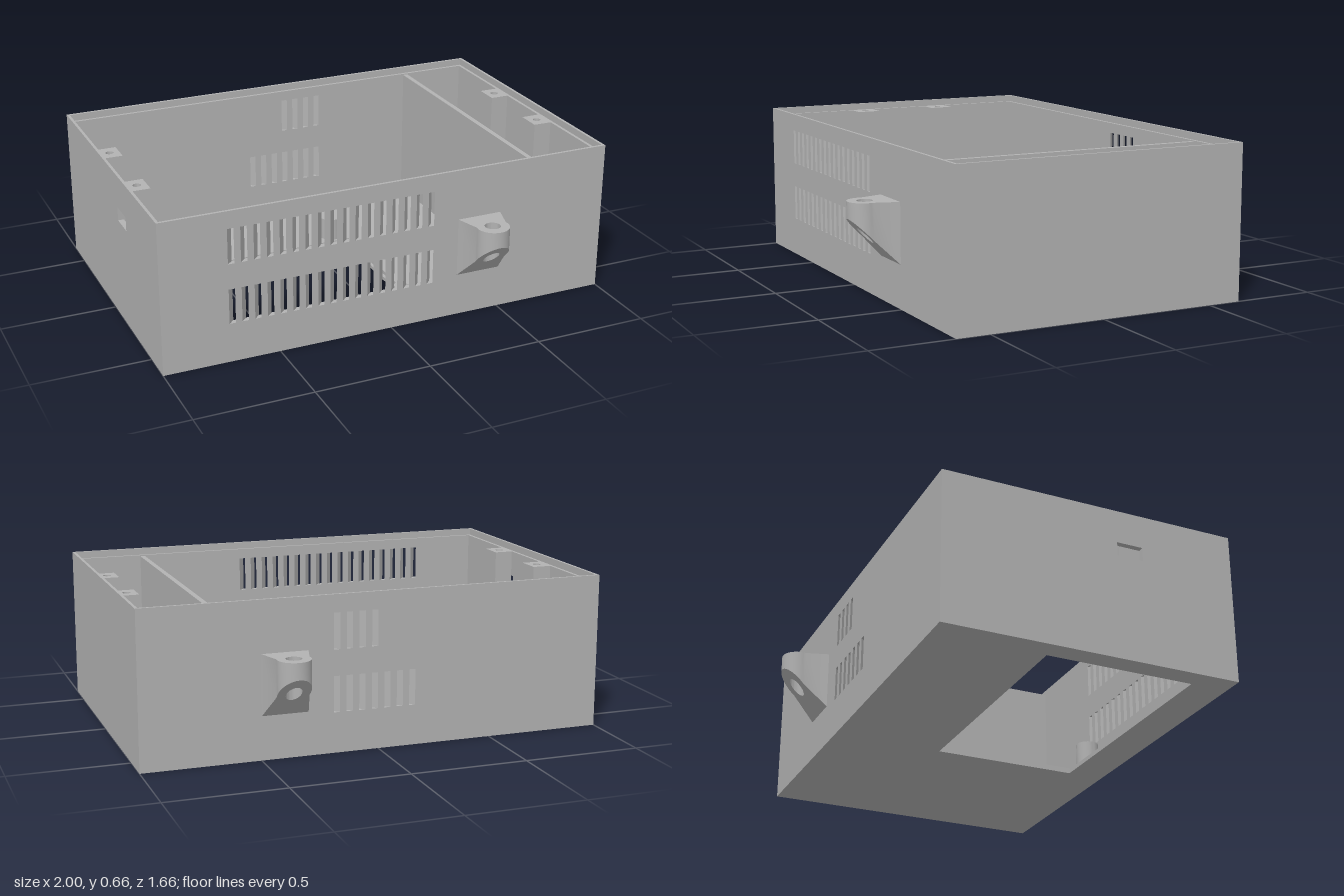
import * as THREE from 'three';
import { toCreasedNormals } from 'three/addons/utils/BufferGeometryUtils.js';

const W = 1, D = 0.645, H = 0.66, LEDGE = 0.63, T = 0.025, FLOOR = 0.03;

// Rectangle from corner to corner, as a shape or a hole
function rect(x0, y0, x1, y1, Type = THREE.Shape) {
  const p = new Type();
  p.moveTo(x0, y0).lineTo(x1, y0).lineTo(x1, y1).lineTo(x0, y1).closePath();
  return p;
}
function circle(x, y, r, Type = THREE.Path) {
  const p = new Type();
  p.absarc(x, y, r, 0, Math.PI * 2, false);
  return p;
}
function extrude(shape, depth) {
  return new THREE.ExtrudeGeometry(shape, { depth, bevelEnabled: false, curveSegments: 16 });
}
// Plan shape (x, -z) raised from y0 to y1; an optional rule reshapes the underside
function plan(shape, y0, y1, underside) {
  const g = extrude(shape, y1 - y0).rotateX(-Math.PI / 2).translate(0, y0, 0);
  if (underside) {
    const p = g.attributes.position;
    for (let i = 0; i < p.count; i++) {
      if (p.getY(i) < (y0 + y1) / 2) p.setY(i, underside(p.getX(i), p.getZ(i)));
    }
  }
  return toCreasedNormals(g, 0.5);
}

export function createModel() {
  const group = new THREE.Group();
  const grey = new THREE.MeshStandardMaterial({ color: 0xb2b2b2 });
  grey.name = 'grey plastic';
  const add = (name, geo) => {
    const m = new THREE.Mesh(geo, grey);
    m.name = name;
    group.add(m);
    return m;
  };
  const box = (name, x0, x1, y0, y1, z0, z1) => add(name,
    new THREE.BoxGeometry(x1 - x0, y1 - y0, z1 - z0)
      .translate((x0 + x1) / 2, (y0 + y1) / 2, (z0 + z1) / 2));

  // Floor in two layers, giving the window a stepped edge
  const floorLayer = (name, y0, y1, inset) => {
    const s = rect(-W + T, -D + T, W - T, D - T);
    s.holes.push(rect(-0.92 + inset, -0.495 + inset, 0.175 - inset, 0.175 - inset, THREE.Path));
    add(name, plan(s, y0, y1));
  };
  floorLayer('floorLower', 0, FLOOR / 2, 0.013);
  floorLayer('floorUpper', FLOOR / 2, FLOOR, 0);

  // Long walls with slanted vent slots; the wall is sheared so each slot runs at an angle
  const rows = [[0.433, 0.585], [0.171, 0.323]];
  const longWall = (name, side, counts, lastX) => {
    const s = rect(-W, 0, W - T, LEDGE);
    rows.forEach(([y0, y1], r) => {
      for (let i = 0; i < counts[r]; i++) {
        const x = lastX - i * 0.0548;
        s.holes.push(rect(x - 0.0135, y0, x + 0.0135, y1, THREE.Path));
      }
    });
    const g = extrude(s, T);
    const p = g.attributes.position;
    for (let i = 0; i < p.count; i++) {
      const inward = side > 0 ? T - p.getZ(i) : p.getZ(i);
      p.setX(i, p.getX(i) + inward);
    }
    g.translate(0, 0, side > 0 ? D - T : -D);
    g.computeVertexNormals();
    add(name, g);
  };
  longWall('frontWall', 1, [17, 17], 0.174);
  longWall('backWall', -1, [4, 7], 0.18);

  // Short walls; the right one has a small port opening
  box('leftWall', W - T, W, 0, LEDGE, -D, D);
  const side = rect(-D, 0, D, LEDGE);
  side.holes.push(rect(0.115, 0.455, 0.23, 0.515, THREE.Path));
  add('rightWall', extrude(side, T).rotateY(-Math.PI / 2).translate(-W + T, 0, 0));

  // Thin lip around the rim, leaving a ledge for a lid
  const lip = rect(-W, -D, W, D);
  lip.holes.push(rect(-W + 0.012, -D + 0.012, W - 0.012, D - 0.012, THREE.Path));
  add('rimLip', plan(lip, LEDGE, H));

  box('partition', 0.668, 0.69, FLOOR, 0.625, -D + T, D - T);

  // Mounting lugs with sloping undersides
  for (const s of [1, -1]) {
    const pts = [new THREE.Vector2(0.3, -s * (D - 0.005)), new THREE.Vector2(0.5, -s * (D - 0.005))];
    for (let i = 0; i <= 20; i++) {
      const a = THREE.MathUtils.degToRad(-12 + i * 10.2);
      pts.push(new THREE.Vector2(0.4 + 0.07 * Math.cos(a), -s * (0.76 + 0.07 * Math.sin(a))));
    }
    const shape = new THREE.Shape(pts);
    shape.holes.push(circle(0.4, -s * 0.757, 0.033));
    add(s > 0 ? 'frontLug' : 'backLug',
      plan(shape, 0.18, 0.44, (x, z) => 0.185 + Math.abs(z) - D));
  }

  // Lid screw posts on the short walls, with sloping undersides and blind holes
  for (const sx of [1, -1]) {
    for (const z of [-0.196, 0.19]) {
      const inner = sx * 0.893, outer = sx * (W - T);
      const s = rect(Math.min(inner, outer), -z - 0.054, Math.max(inner, outer), -z + 0.054);
      s.holes.push(circle(sx * 0.935, -z, 0.017));
      add('lidPost', plan(s, 0.27, LEDGE, (x) => 0.27 + (W - T - Math.abs(x))));
      add('postHoleBottom', new THREE.CircleGeometry(0.018, 16)
        .rotateX(-Math.PI / 2).translate(sx * 0.935, 0.5, z));
    }
  }

  // Round standoffs around the window
  for (const x of [-0.86, 0.112]) {
    for (const z of [-0.238, 0.55]) {
      const s = circle(x, -z, 0.05, THREE.Shape);
      s.holes.push(circle(x, -z, 0.017));
      add('standoff', plan(s, FLOOR, 0.13));
      add('standoffHoleBottom', new THREE.CircleGeometry(0.018, 16)
        .rotateX(-Math.PI / 2).translate(x, FLOOR + 0.01, z));
    }
  }

  // Module holder: four corner pegs with thin guide walls, and an end stop
  for (const s of [1, -1]) {
    const zr = (a, b) => (s > 0 ? [a, b] : [-b, -a]);
    box('holderPeg', 0.695, 0.73, FLOOR, 0.07, ...zr(0.075, 0.11));
    box('holderPeg', 0.922, 0.958, FLOOR, 0.07, ...zr(0.075, 0.11));
    box('holderGuide', 0.725, 0.797, FLOOR, 0.11, ...zr(0.11, 0.122));
    box('holderGuide', 0.86, 0.93, FLOOR, 0.11, ...zr(0.11, 0.122));
  }
  box('holderStop', 0.963, W - T, FLOOR, 0.11, -0.065, 0.06);

  return group;
}
